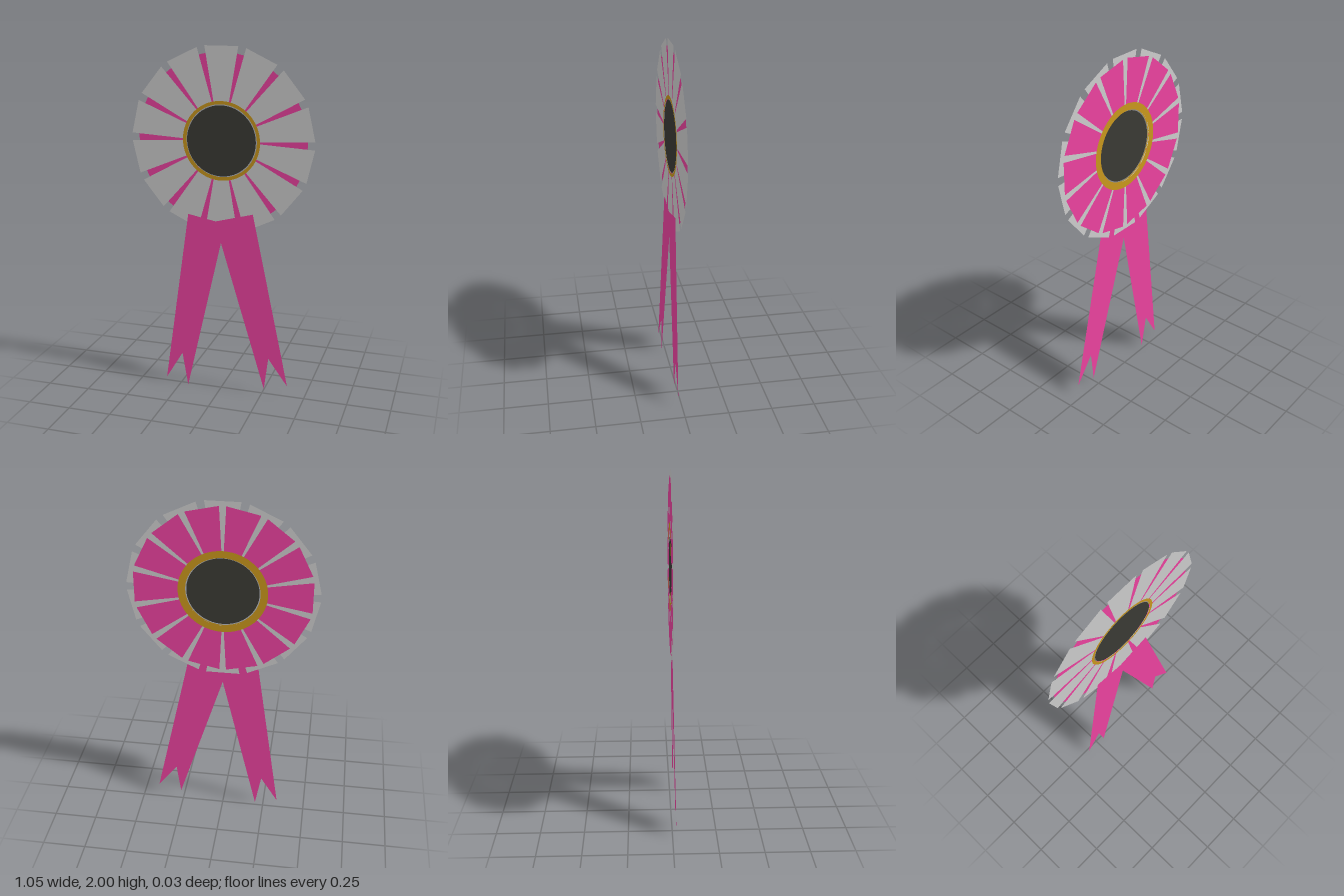
import * as THREE from 'three';

const CENTRE_Y = 1.485;
const PETALS = 14;

const material = (color) => new THREE.MeshStandardMaterial({ color, side: THREE.DoubleSide });
const grey = material(0xcccccc);
const pink = material(0xeb429f);
const gold = material(0xc8961c);
const black = material(0x3a3a34);

function addMesh(parent, name, geometry, mat, z = 0) {
  const mesh = new THREE.Mesh(geometry, mat);
  mesh.name = name;
  mesh.position.z = z;
  parent.add(mesh);
  return mesh;
}

function flatShape(points) {
  return new THREE.ShapeGeometry(new THREE.Shape(points.map(([x, y]) => new THREE.Vector2(x, y))));
}

// One layer of straight-ended pleats fanned around the badge
function pleatLayer(name, mat, outer, halfWidth, turn, z) {
  const layer = new THREE.Group();
  layer.name = name;
  const pleat = flatShape([[-0.042, 0.205], [0.042, 0.205], [halfWidth, outer], [-halfWidth, outer]]);
  for (let i = 0; i < PETALS; i++) {
    const mesh = addMesh(layer, 'pleat', pleat, mat, z);
    mesh.rotation.z = ((i + turn) / PETALS) * Math.PI * 2;
  }
  return layer;
}

// Swallow-tailed ribbon that leans forward towards its lower end
function ribbonGeometry(points, lift) {
  const geometry = flatShape(points);
  const p = geometry.attributes.position;
  for (let i = 0; i < p.count; i++) p.setZ(i, 0.022 - 0.018 * p.getY(i) + lift);
  geometry.computeVertexNormals();
  return geometry;
}

export function createModel() {
  const model = new THREE.Group();
  model.name = 'rosette';

  // Pleated rosette: front pleats, with back pleats filling the gaps
  const head = new THREE.Group();
  head.name = 'rosetteHead';
  head.position.y = CENTRE_Y;
  model.add(head);
  head.add(pleatLayer('frontPleats', grey, 0.515, 0.095, 0, 0.001));
  head.add(pleatLayer('backPleats', pink, 0.482, 0.091, 0.5, -0.003));

  // Gold rim: narrow in front, wider behind
  addMesh(head, 'frontRim', new THREE.RingGeometry(0.203, 0.221, 64), gold, 0.004);
  addMesh(head, 'backRim', new THREE.RingGeometry(0.203, 0.243, 64), gold, -0.005);

  // Dark centre button with a smaller backing disc
  addMesh(head, 'centreDisc', new THREE.CircleGeometry(0.197, 64), black, 0.003);
  addMesh(head, 'centreBacking', new THREE.CircleGeometry(0.16, 64), black, -0.004);

  // Two hanging ribbons
  addMesh(model, 'rightRibbon', ribbonGeometry(
    [[-0.195, 1.057], [-0.335, 0.032], [-0.235, 0.2], [-0.2, 0], [0.025, 1.015]], 0), pink);
  addMesh(model, 'leftRibbon', ribbonGeometry(
    [[-0.037, 1.025], [0.267, 0.04], [0.29, 0.232], [0.405, 0.075], [0.185, 1.083]], 0.002), pink);

  return model;
}
